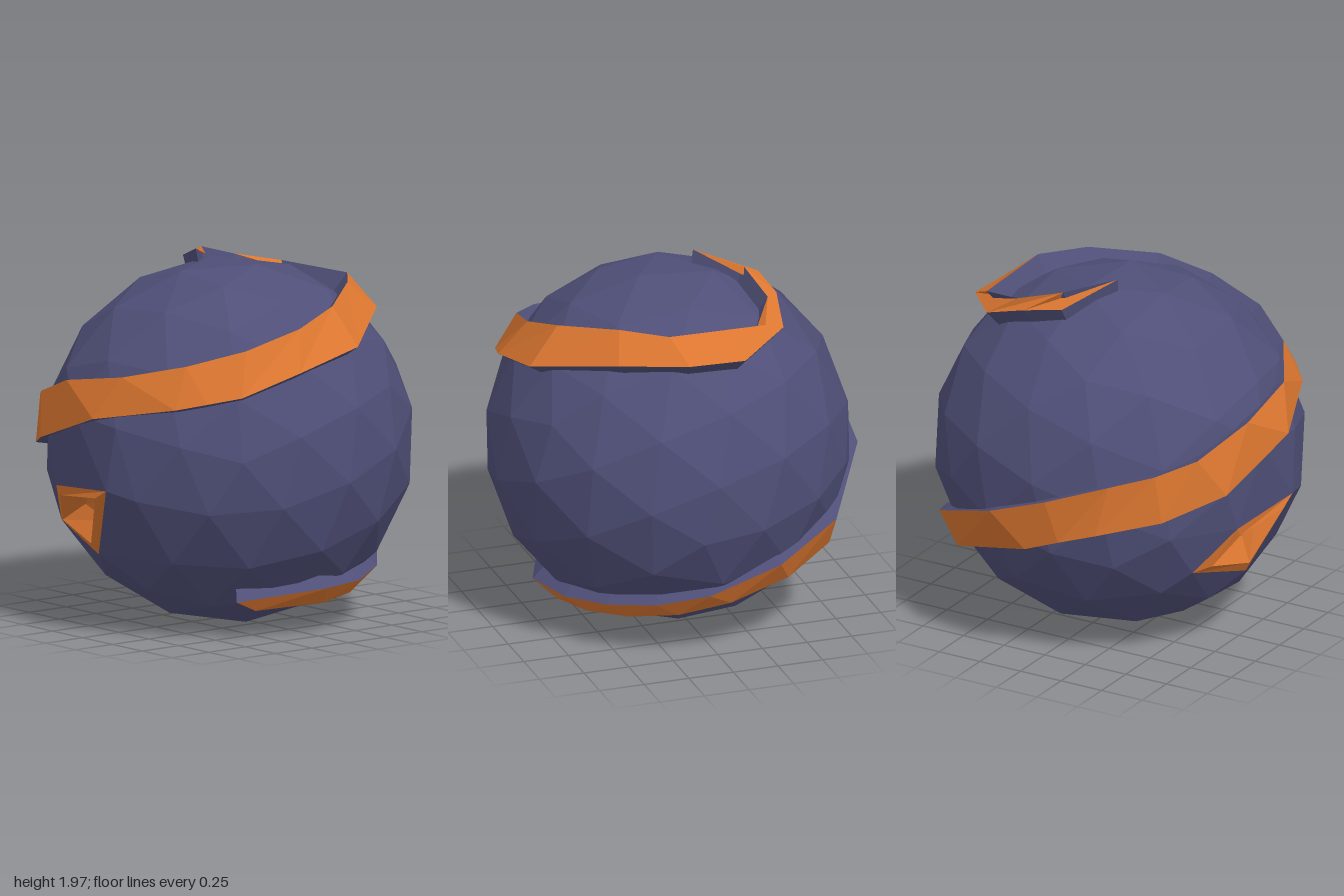
import * as THREE from 'three';

const CY = 0.97; // height of the band's centre
const RX = 0.975, RY = 0.975, RZ = 0.995; // ball radii
const BALL = new THREE.Vector3(0.015, 0.96, 0.008); // ball centre

// Flat-shaded mesh from a list of polygons, each split as a fan
function polyMesh(name, polys, material) {
  const points = [];
  for (const poly of polys) {
    for (let i = 1; i < poly.length - 1; i++) points.push(poly[0], poly[i], poly[i + 1]);
  }
  const g = new THREE.BufferGeometry().setFromPoints(points);
  g.computeVertexNormals();
  const m = new THREE.Mesh(g, material);
  m.name = name;
  return m;
}

// Point at an azimuth (from the front towards +x) and height, on a shell of given radius
function shellPoint(deg, y, radius) {
  const a = THREE.MathUtils.degToRad(deg);
  const r = Math.sqrt(Math.max(0, radius * radius - (y - CY) ** 2));
  return new THREE.Vector3(Math.sin(a) * r, y, Math.cos(a) * r);
}

// Points on the front of the ball, in the ball's own frame, pushed in by a depth
const onFront = (corners, depth) => corners.map(([px, py]) => {
  const x = px - BALL.x, y = py - BALL.y;
  return new THREE.Vector3(x, y, RZ * Math.sqrt(1 - (x / RX) ** 2 - (y / RY) ** 2) - depth);
});

// Faceted ball whose front facets are joined to the rim of the eye instead
function makeBall(hole, material) {
  const geo = new THREE.IcosahedronGeometry(1, 2);
  geo.rotateZ(0.25);
  geo.rotateX(0.3);
  geo.scale(RX, RY, RZ);
  const p = geo.getAttribute('position');
  const points = Array.from({ length: p.count }, (_, i) => new THREE.Vector3().fromBufferAttribute(p, i));
  const has = (list, v) => list.some((q) => q.distanceTo(v) < 1e-3);
  const unique = [];
  for (const v of points) if (!has(unique, v)) unique.push(v);

  // take away the facets around the three vertices nearest the eye
  const centre = hole.reduce((s, v) => s.add(v), new THREE.Vector3()).divideScalar(hole.length);
  const removed = unique.sort((a, b) => a.distanceTo(centre) - b.distanceTo(centre)).slice(0, 3);
  const facets = [];
  const border = [];
  for (let i = 0; i < points.length; i += 3) {
    const tri = points.slice(i, i + 3);
    if (!tri.some((v) => has(removed, v))) facets.push(tri);
    else for (const v of tri) if (!has(removed, v) && !has(border, v)) border.push(v);
  }
  const turn = (v) => Math.atan2(v.y - centre.y, v.x - centre.x);
  border.sort((a, b) => turn(a) - turn(b));

  // bridge the border to the eye, each border point to its nearest corner
  const n = hole.length;
  const nearest = (v) => hole.reduce((best, h, i) => (h.distanceTo(v) < hole[best].distanceTo(v) ? i : best), 0);
  border.forEach((v, i) => {
    const next = border[(i + 1) % border.length];
    const end = nearest(next);
    let k = nearest(v);
    facets.push([v, next, hole[k]]);
    for (; k !== end; k = (k + 1) % n) facets.push([next, hole[(k + 1) % n], hole[k]]);
  });
  return polyMesh('ball', facets, material);
}

export function createModel() {
  const group = new THREE.Group();
  const blue = new THREE.MeshStandardMaterial({ color: 0x4f4f78, flatShading: true, side: THREE.DoubleSide });
  blue.name = 'slate blue';
  const orange = new THREE.MeshStandardMaterial({ color: 0xdb7630, flatShading: true, side: THREE.DoubleSide });
  orange.name = 'burnt orange';

  // Four-sided eye: flush rim with a pocket sunk into the ball
  const outer = onFront([[-0.48, 0.54], [-0.07, 0.42], [0.17, 0.81], [-0.31, 0.77]], 0);
  const inner = onFront([[-0.39, 0.56], [-0.09, 0.48], [0.08, 0.76], [-0.28, 0.72]], 0);
  const floor = onFront([[-0.25, 0.66], [-0.04, 0.6], [0.03, 0.74], [-0.19, 0.73]], 0.14);
  const eyeFaces = [floor];
  for (const [a, b] of [[outer, inner], [inner, floor]]) {
    for (let i = 0; i < 4; i++) {
      const j = (i + 1) % 4;
      eyeFaces.push([a[i], a[j], b[j], b[i]]);
    }
  }
  const body = new THREE.Group();
  body.name = 'body';
  body.position.copy(BALL);
  body.add(makeBall(outer, blue), polyMesh('eye', eyeFaces, orange));
  group.add(body);

  // Spiral band: azimuth and height of the upper edge, then of the lower edge, then shell radius
  const rows = [
    [-306, 0.21, -297, 0.15, 1.06], [-268, 0.26, -262, 0.16, 1.06], [-246, 0.26, -240, 0.175, 1.05],
    [-225, 0.29, -218, 0.20, 1.04], [-205, 0.325, -196, 0.24, 1.035], [-185, 0.38, -175, 0.30, 1.025],
    [-160, 0.52, -152, 0.39, 1.025], [-135, 0.66, -130, 0.48, 1.02], [-102, 0.87, -90, 0.69, 1.0],
    [-82, 1.0, -78, 0.77, 0.995], [-62, 1.12, -66, 0.84, 1.015], [-48, 1.175, -46, 0.915, 1.03],
    [-34, 1.23, -25, 1.01, 1.03], [-13, 1.35, 5, 1.19, 1.03], [13, 1.42, 34, 1.28, 1.03],
    [36, 1.50, 44, 1.315, 1.03], [57, 1.58, 55, 1.35, 1.04], [80, 1.67, 75, 1.46, 1.04],
    [102, 1.75, 102, 1.55, 1.05], [135, 1.81, 140, 1.67, 1.05], [160, 1.81, 168, 1.69, 1.07],
    [207, 1.80, 190, 1.69, 1.08], [228, 1.85, 219, 1.74, 1.04], [253, 1.925, 240, 1.83, 1.03],
    [302, 1.968, 262, 1.87, 1.015],
  ];
  const mid = new THREE.Vector3(0, CY, 0);
  const sections = rows.map(([ua, uy, la, ly, radius]) => {
    const U = shellPoint(ua, uy, radius);
    const L = shellPoint(la, ly, radius);
    return { U, L, u: U.clone().lerp(mid, 0.11), l: L.clone().lerp(mid, 0.11) };
  });
  const face = [];
  const walls = [];
  for (let i = 0; i < sections.length - 1; i++) {
    const a = sections[i], b = sections[i + 1];
    face.push([a.L, b.L, b.U, a.U]);
    walls.push([a.U, b.U, b.u, a.u], [a.l, b.l, b.L, a.L]);
  }
  const s = sections[0], e = sections[sections.length - 1];
  walls.push([s.l, s.L, s.U, s.u], [e.L, e.l, e.u, e.U]);
  const band = new THREE.Group();
  band.name = 'spiralBand';
  band.add(polyMesh('bandFace', face, orange), polyMesh('bandWalls', walls, blue));
  group.add(band);

  return group;
}
